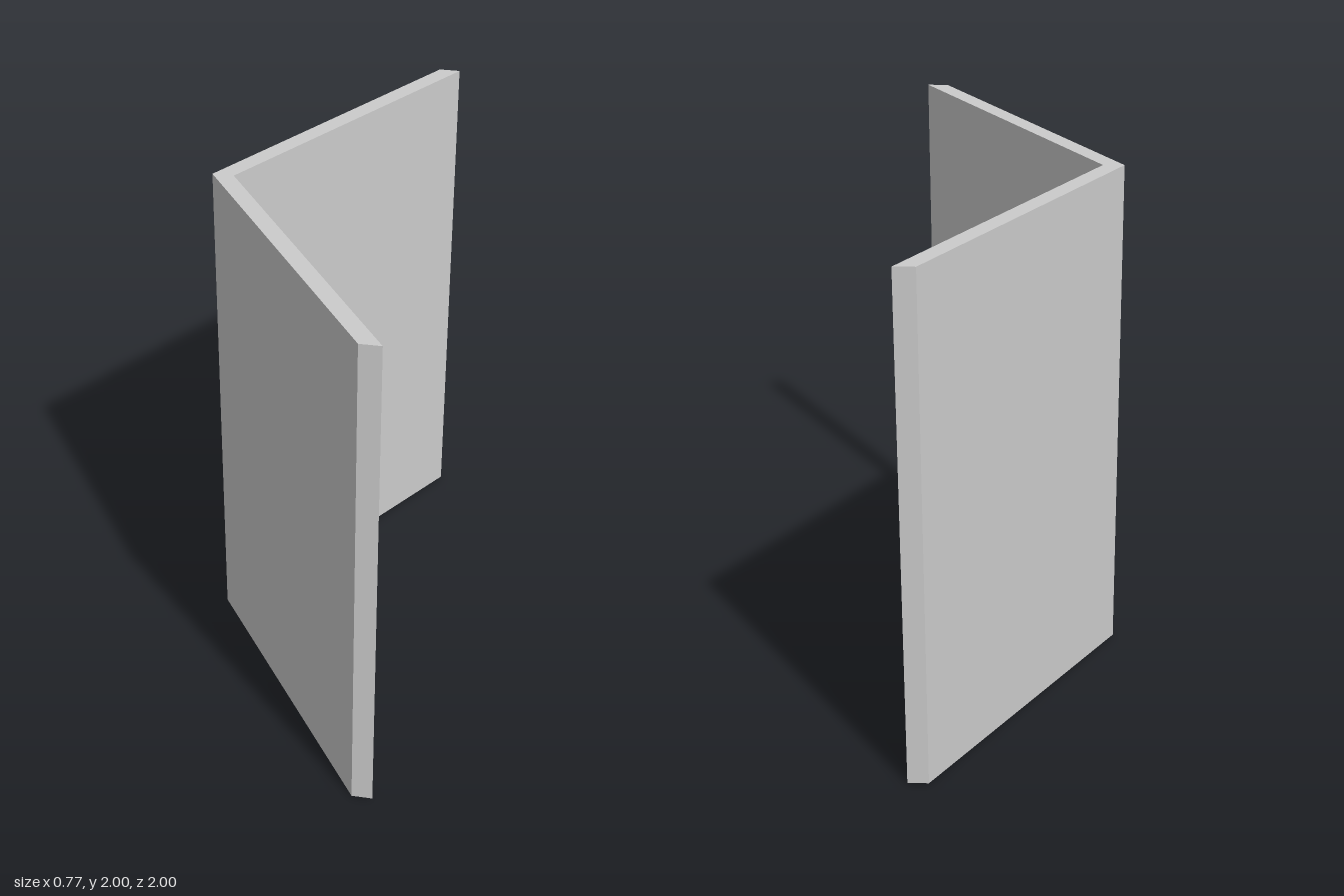
import * as THREE from 'three';

export function createModel() {
  const group = new THREE.Group();
  group.name = 'foldedPanel';

  // V-shaped plan: two equal walls meeting at a sharp fold
  const apex = -0.385, end = 0.305, thickness = 0.078, halfWidth = 1, height = 2;
  const plan = new THREE.Shape([
    new THREE.Vector2(apex, 0),
    new THREE.Vector2(end, -halfWidth),
    new THREE.Vector2(end + thickness, -halfWidth),
    new THREE.Vector2(apex + thickness, 0),
    new THREE.Vector2(end + thickness, halfWidth),
    new THREE.Vector2(end, halfWidth),
  ]);

  // Raise the plan straight up from the ground
  const geometry = new THREE.ExtrudeGeometry(plan, { depth: height, bevelEnabled: false });
  geometry.rotateX(-Math.PI / 2);

  const material = new THREE.MeshStandardMaterial({ color: 0xcccccc, flatShading: true });
  const panel = new THREE.Mesh(geometry, material);
  panel.name = 'angledWalls';
  group.add(panel);
  return group;
}
